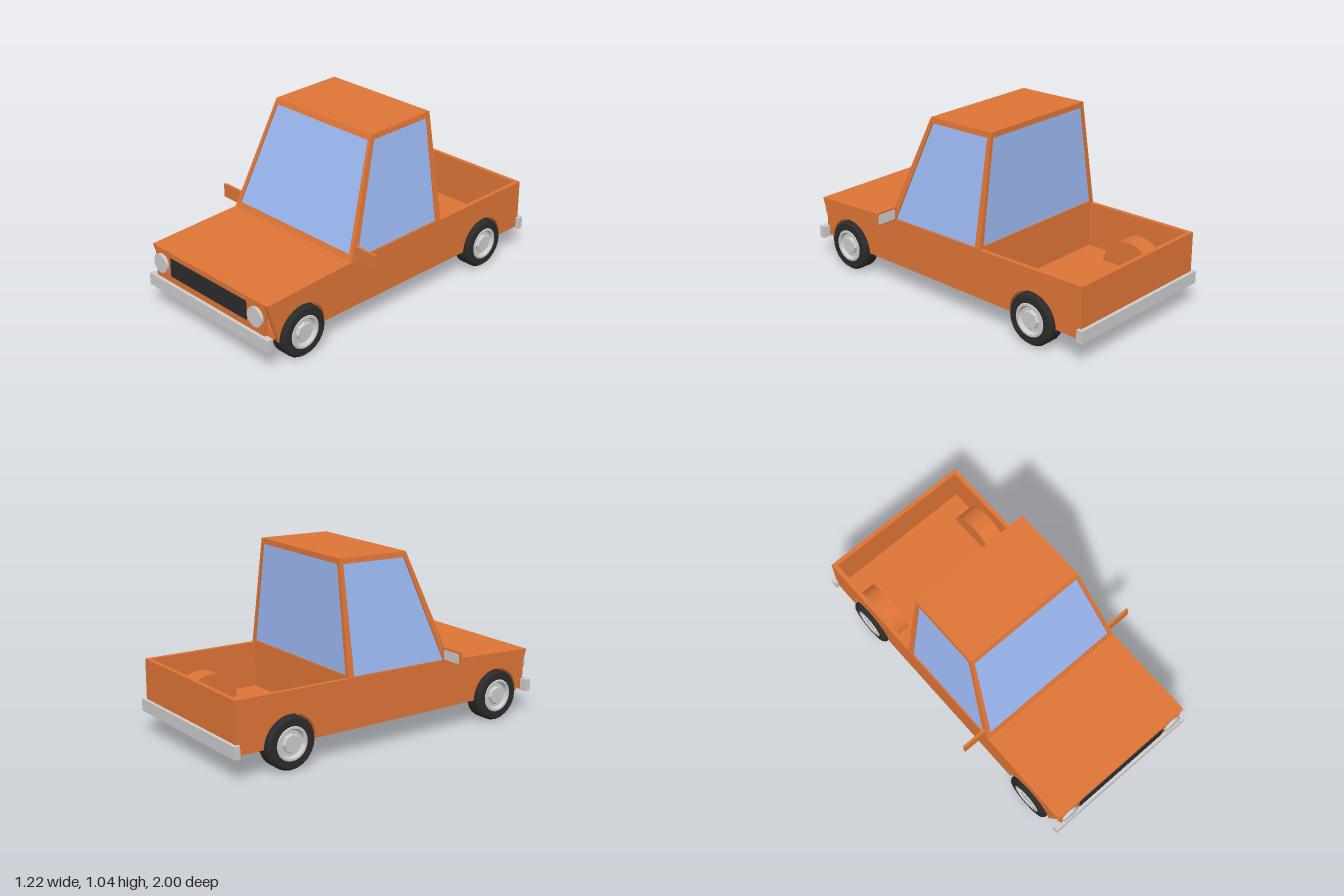
import * as THREE from 'three';
import { toCreasedNormals } from 'three/addons/utils/BufferGeometryUtils.js';

const mat = (color) => new THREE.MeshStandardMaterial({ color, side: THREE.DoubleSide });
const paint = mat(0xdd7436);
const glass = mat(0x9bb8f2);
const dark = mat(0x2b2b2b);
const grey = mat(0xcccccc);

const AXLES = [0.745, -0.655];
const AXLE_Y = 0.145;

export function createModel() {
  const model = new THREE.Group();

  const add = (name, geometry, material, x = 0, y = 0, z = 0, parent = model) => {
    const mesh = new THREE.Mesh(geometry, material);
    mesh.name = name;
    mesh.position.set(x, y, z);
    parent.add(mesh);
    return mesh;
  };

  // Box given by its minimum and maximum on each axis
  const box = (name, material, x0, x1, y0, y1, z0, z1) =>
    add(name, new THREE.BoxGeometry(x1 - x0, y1 - y0, z1 - z0), material,
      (x0 + x1) / 2, (y0 + y1) / 2, (z0 + z1) / 2);

  // Side outline in (-z, y), extruded along x
  const across = (shape, x0, x1) =>
    new THREE.ExtrudeGeometry(shape, { depth: x1 - x0, bevelEnabled: false, curveSegments: 16 })
      .rotateY(Math.PI / 2).translate(x0, 0, 0);
  const outline = (points) => new THREE.Shape(points.map(([z, y]) => new THREE.Vector2(-z, y)));

  // Flat quads from corner lists, counter-clockwise seen from outside
  const quads = (list) => {
    const geometry = new THREE.BufferGeometry();
    const pos = list.flatMap(([a, b, c, d]) => [a, b, c, a, c, d].flatMap((p) => p.toArray()));
    geometry.setAttribute('position', new THREE.Float32BufferAttribute(pos, 3));
    geometry.computeVertexNormals();
    return geometry;
  };

  // Body sides with wheel arches
  const side = new THREE.Shape();
  side.moveTo(-0.98, 0.14);
  for (const z of AXLES) side.absarc(-z, 0.14, 0.16, Math.PI, 0, true);
  side.lineTo(0.98, 0.14);
  side.lineTo(0.98, 0.43);
  side.lineTo(-0.4, 0.41);
  side.lineTo(-0.98, 0.38);
  add('leftBodySide', across(side, 0.445, 0.47), paint);
  add('rightBodySide', across(side, -0.47, -0.445), paint);

  // Hood and nose, firewall, bed front wall, tailgate
  const hood = outline([[0.98, 0.14], [0.98, 0.38], [0.4, 0.41], [0.4, 0.385], [0.955, 0.355], [0.955, 0.14]]);
  add('hoodAndNose', across(hood, -0.445, 0.445), paint);
  box('firewall', paint, -0.445, 0.445, 0.145, 0.39, 0.38, 0.395);
  box('bedFrontWall', paint, -0.445, 0.445, 0.145, 0.42, -0.29, -0.275);
  box('tailgate', paint, -0.445, 0.445, 0.14, 0.43, -0.98, -0.955);

  // Floors; the bed floor is notched around the wheel wells
  box('cabFloor', paint, -0.445, 0.445, 0.145, 0.16, -0.275, 0.38);
  const half = [[0.445, 0.29], [0.445, 0.485], [0.33, 0.485], [0.33, 0.825], [0.445, 0.825], [0.445, 0.955]];
  const plan = [...half, ...half.map(([x, d]) => [-x, d]).reverse()];
  const bedFloor = new THREE.Shape(plan.map(([x, d]) => new THREE.Vector2(x, d)));
  add('bedFloor', new THREE.ExtrudeGeometry(bedFloor, { depth: 0.012, bevelEnabled: false })
    .rotateX(-Math.PI / 2), paint, 0, 0.148, 0);

  // Cab: framed panes with slightly recessed glass, and a roof
  const V = (x, y, z) => new THREE.Vector3(x, y, z);
  const cab = new THREE.Group();
  cab.name = 'cab';
  model.add(cab);
  const pane = (name, corners, [l, r, b, t]) => {
    const at = (u, v) => corners[0].clone().lerp(corners[1], u)
      .lerp(corners[3].clone().lerp(corners[2], u), v);
    const inner = [at(l, b), at(1 - r, b), at(1 - r, 1 - t), at(l, 1 - t)];
    const normal = corners[1].clone().sub(corners[0]).cross(corners[3].clone().sub(corners[0])).normalize();
    const sunk = inner.map((p) => p.clone().addScaledVector(normal, -0.008));
    const frame = [];
    for (let i = 0; i < 4; i++) {
      const j = (i + 1) % 4;
      frame.push([corners[i], corners[j], inner[j], inner[i]], [inner[i], inner[j], sunk[j], sunk[i]]);
    }
    add(name + 'Frame', quads(frame), paint, 0, 0, 0, cab);
    add(name + 'Glass', quads([sunk]), glass, 0, 0, 0, cab);
  };
  const ring = (s) => [V(s * 0.47, 0.41, 0.4), V(s * 0.47, 0.42, -0.29), V(s * 0.37, 1.04, -0.28), V(s * 0.37, 1.03, 0.16)];
  const [L, R] = [ring(1), ring(-1)];
  pane('windshield', [R[0], L[0], L[3], R[3]], [0.027, 0.027, 0.05, 0.05]);
  pane('rearWindow', [L[1], R[1], R[2], L[2]], [0.027, 0.027, 0.02, 0.05]);
  pane('leftWindow', L, [0.06, 0.055, 0.01, 0.05]);
  pane('rightWindow', [R[1], R[0], R[3], R[2]], [0.055, 0.06, 0.01, 0.05]);
  add('roof', quads([[R[3], L[3], L[2], R[2]]]), paint, 0, 0, 0, cab);

  // Wheel profiles, turned about the axle
  const turned = (points, sides) => toCreasedNormals(
    new THREE.LatheGeometry(points.map(([r, h]) => new THREE.Vector2(r, h)), sides), 0.5)
    .rotateZ(-Math.PI / 2);
  const tyre = turned([[0, -0.05], [0.14, -0.05], [0.145, -0.045], [0.145, 0.035], [0.132, 0.05], [0.095, 0.05], [0.092, 0.03]], 24);
  const rim = turned([[0.096, 0.046], [0.09, 0.052], [0.08, 0.052], [0.07, 0.032], [0, 0.032]], 24);
  const hub = turned([[0.055, 0.03], [0.048, 0.05], [0, 0.05]], 8);
  const wellArch = new THREE.CylinderGeometry(0.17, 0.17, 0.115, 18, 1, true, 0, Math.PI).rotateZ(Math.PI / 2);
  const wellWall = new THREE.CircleGeometry(0.17, 18, 0, Math.PI).rotateY(-Math.PI / 2);

  for (const s of [1, -1]) {
    const label = s > 0 ? 'left' : 'right';
    AXLES.forEach((z, i) => {
      // Wheel and its well
      const corner = new THREE.Group();
      corner.name = label + (i ? 'Rear' : 'Front') + 'Wheel';
      corner.position.set(0, AXLE_Y, z);
      corner.rotation.y = s > 0 ? 0 : Math.PI;
      model.add(corner);
      add('tyre', tyre, dark, 0.44, 0, 0, corner);
      add('rim', rim, grey, 0.44, 0, 0, corner);
      add('hub', hub, grey, 0.44, 0, 0, corner);
      add('wheelWellArch', wellArch, paint, 0.3875, 0, 0, corner);
      add('wheelWellWall', wellWall, paint, 0.33, 0, 0, corner);
    });

    // Headlight and door mirror
    add(label + 'Headlight', new THREE.CylinderGeometry(0.055, 0.055, 0.025, 24).rotateX(Math.PI / 2),
      grey, s * 0.388, 0.295, 0.985);
    add(label + 'MirrorHousing', new THREE.BoxGeometry(0.15, 0.08, 0.015), paint, s * 0.535, 0.45, 0.36);
    add(label + 'MirrorGlass', new THREE.BoxGeometry(0.12, 0.056, 0.004), grey, s * 0.54, 0.45, 0.352);
  }

  // Grille and bumpers
  box('grille', dark, -0.31, 0.31, 0.243, 0.35, 0.97, 0.987);
  box('frontBumper', grey, -0.49, 0.49, 0.13, 0.2, 0.965, 1);
  box('rearBumper', grey, -0.49, 0.49, 0.13, 0.2, -1, -0.965);

  return model;
}
